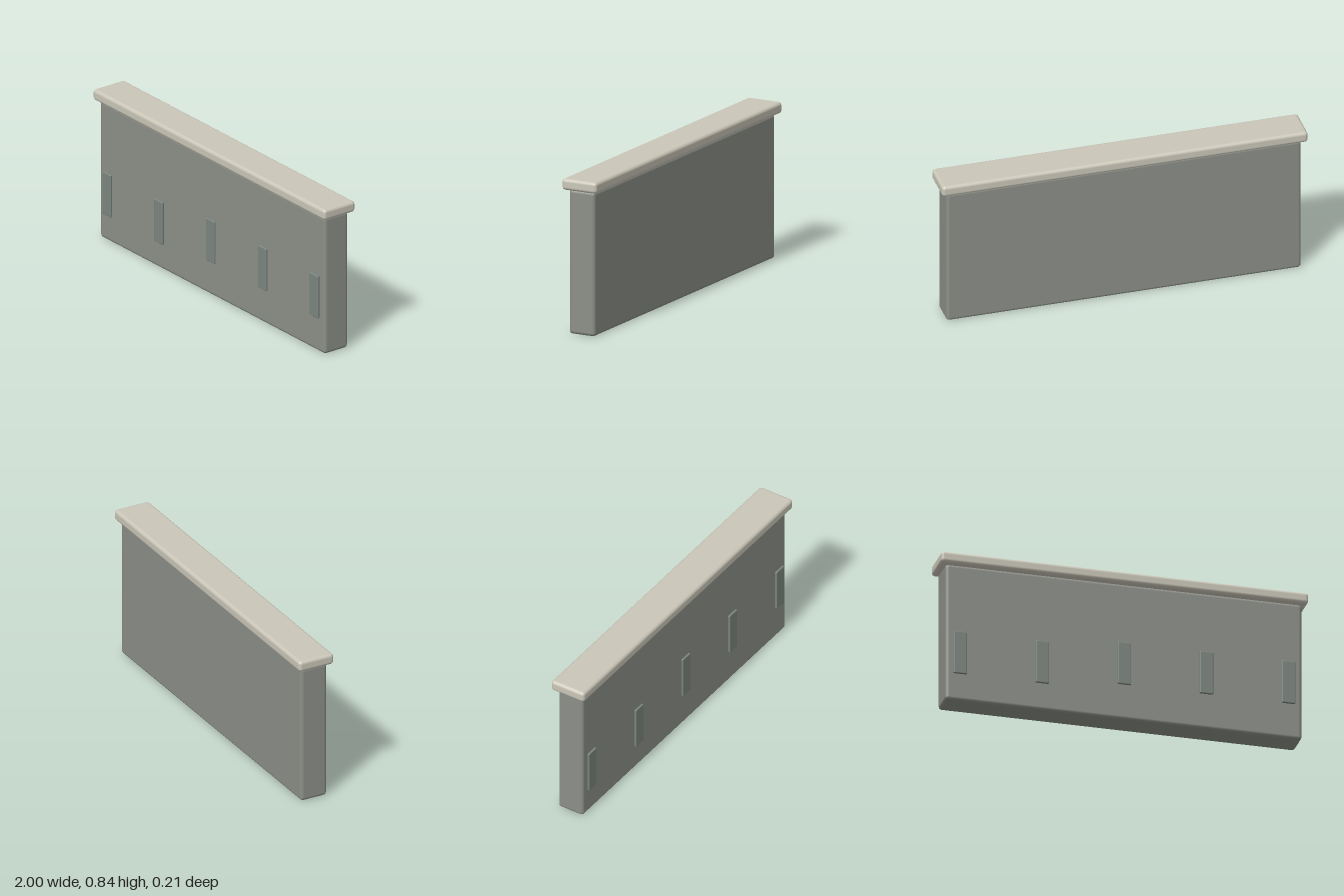
import * as THREE from 'three';
import { RoundedBoxGeometry } from 'three/addons/geometries/RoundedBoxGeometry.js';

// Rounded block given by its size, corner radius and centre
function block(name, [w, h, d], radius, [x, y, z], color) {
  const mesh = new THREE.Mesh(
    new RoundedBoxGeometry(w, h, d, 4, radius),
    new THREE.MeshStandardMaterial({ color })
  );
  mesh.name = name;
  mesh.position.set(x, y, z);
  return mesh;
}

export function createModel() {
  const model = new THREE.Group();
  model.name = 'parapetWall';

  // Wall body and overhanging coping
  model.add(block('wall', [1.94, 0.782, 0.155], 0.018, [0, 0.391, 0], 0x8c9088));
  model.add(block('coping', [2, 0.061, 0.208], 0.018, [0, 0.8125, 0], 0xcac6b8));

  // Row of thin upright panels on the front, the two on the right set lower
  const panels = new THREE.Group();
  panels.name = 'frontPanels';
  for (let i = 0; i < 5; i++) {
    const y = i < 2 ? 0.271 : 0.318;
    panels.add(block('panel' + (i + 1), [0.073, 0.243, 0.013], 0.005, [(i - 2) * 0.447, y, 0.087], 0x7c8680));
  }
  model.add(panels);

  return model;
}
